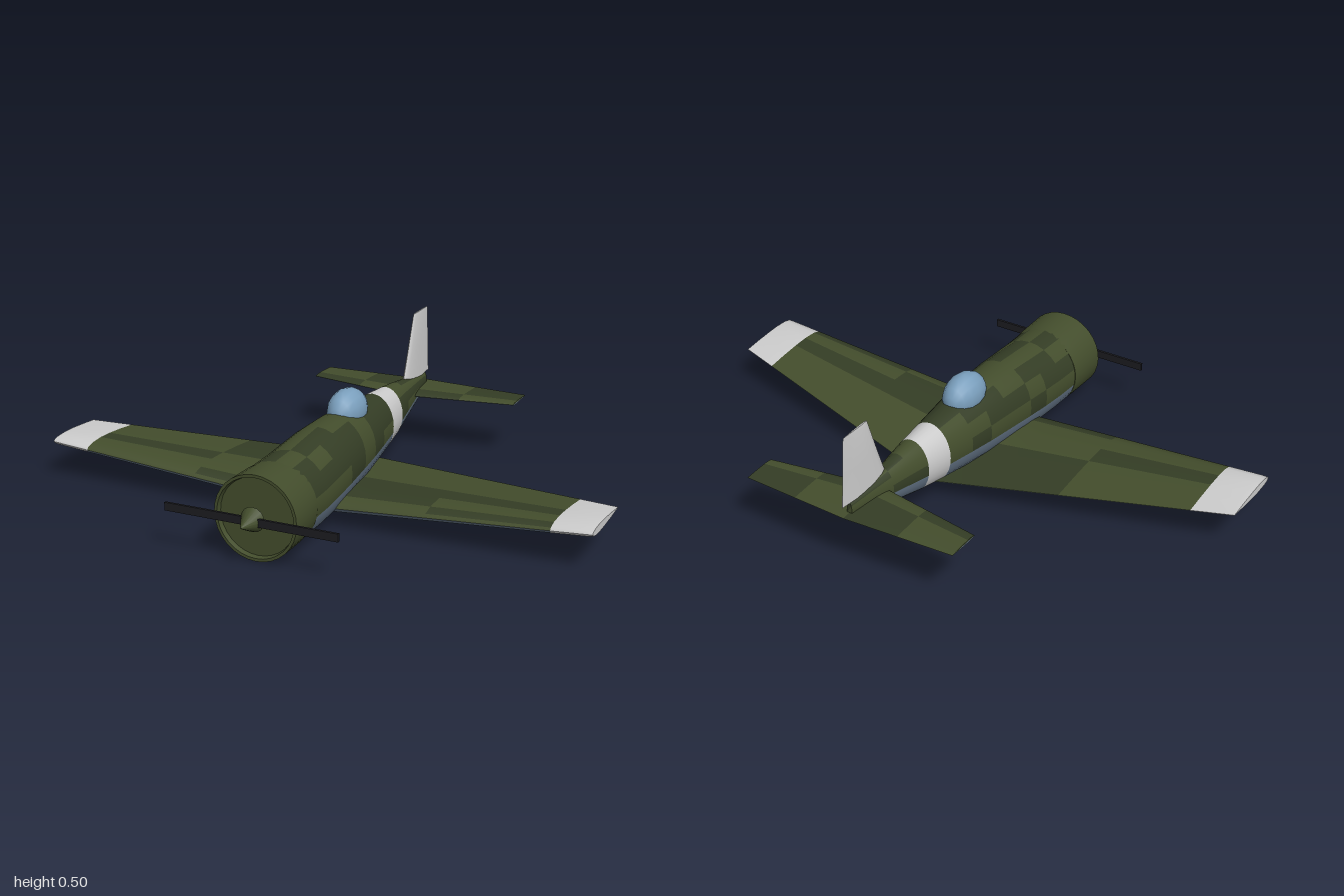
import * as THREE from 'three';
import { toCreasedNormals } from 'three/addons/utils/BufferGeometryUtils.js';

const COLORS = {
  light: 0x434d2c, dark: 0x343d25, belly: 0x627284,
  white: 0xcccccc, glass: 0x7a9fbd, black: 0x1c1c20,
};
const mats = {};
const mat = key => (mats[key] ??= new THREE.MeshStandardMaterial({ color: COLORS[key], side: THREE.DoubleSide }));

// Repeatable camouflage pattern
const camo = (i, j) => {
  const s = Math.sin(i * 12.99 + j * 78.23) * 43758.55;
  return s - Math.floor(s) < 0.5 ? 'dark' : 'light';
};

// Skin a list of closed rings, close both ends, and split the skin by paint colour
function loft(name, rings, paint, crease = 0.8) {
  const n = rings[0].length, last = rings.length - 1;
  const pos = rings.flat(2), index = [], keys = [];
  for (let i = 0; i < last; i++) for (let j = 0; j < n; j++) {
    const k = (j + 1) % n;
    const a = i * n + j, b = i * n + k, c = a + n, d = b + n;
    index.push(a, b, d, a, d, c);
    keys.push(paint(i, j), paint(i, j));
  }
  for (let j = 1; j < n - 1; j++) {
    index.push(0, j + 1, j, last * n, last * n + j, last * n + j + 1);
    keys.push(paint(0, j), paint(last - 1, j));
  }
  let geo = new THREE.BufferGeometry();
  geo.setAttribute('position', new THREE.Float32BufferAttribute(pos, 3));
  geo.setIndex(index);
  geo = toCreasedNormals(geo, crease);

  const group = new THREE.Group();
  group.name = name;
  for (const key of new Set(keys)) {
    const part = geo.clone(), tris = [];
    keys.forEach((k, t) => k === key && tris.push(3 * t, 3 * t + 1, 3 * t + 2));
    part.setIndex(tris);
    const mesh = new THREE.Mesh(part, mat(key));
    mesh.name = name + '_' + key;
    group.add(mesh);
  }
  return group;
}

// Aerofoil outline: [chord fraction from the leading edge, half-thickness fraction]
const HALF = [[1, 0.04], [0.75, 0.5], [0.5, 0.85], [0.3, 1], [0.12, 0.85], [0.02, 0.45]];
const FOIL = [...HALF, [0, 0], ...HALF.slice().reverse().map(([c, t]) => [c, -t])];
const isTop = j => j < 6;

// Horizontal surface ring at span x
const flatRing = (x, y, lead, trail, t) => FOIL.map(([c, v]) => [x, y + v * t, lead + (trail - lead) * c]);

function addMesh(parent, name, geo, key) {
  const mesh = new THREE.Mesh(geo, mat(key));
  mesh.name = name;
  parent.add(mesh);
  return mesh;
}

export function createModel() {
  const plane = new THREE.Group();
  plane.name = 'airplane';
  const lerp = THREE.MathUtils.lerp;

  // Fuselage stations: z, top, bottom, half-width
  const stations = [
    [-0.71, 0.25, 0.185, 0.01], [-0.6, 0.265, 0.157, 0.027], [-0.52, 0.276, 0.137, 0.041],
    [-0.44, 0.286, 0.117, 0.054], [-0.355, 0.294, 0.097, 0.068], [-0.245, 0.301, 0.077, 0.082],
    [-0.13, 0.308, 0.06, 0.098], [-0.03, 0.315, 0.046, 0.111], [0.07, 0.319, 0.033, 0.12],
    [0.2, 0.318, 0.018, 0.13], [0.3, 0.31, 0.01, 0.135], [0.4, 0.301, 0.007, 0.139], [0.51, 0.297, 0.007, 0.142],
  ];
  const UP = 16, DOWN = 12, split = 0.21;
  const angle = j => j < UP
    ? lerp(-split, Math.PI + split, j / UP)
    : lerp(Math.PI + split, 2 * Math.PI - split, (j - UP) / DOWN);
  const hull = stations.map(([z, top, bottom, w]) => Array.from({ length: UP + DOWN }, (_, j) => [
    w * Math.cos(angle(j)), (top + bottom) / 2 + (top - bottom) / 2 * Math.sin(angle(j)), z,
  ]));
  plane.add(loft('fuselage', hull, (i, j) => {
    if (i === 4) return 'white';
    return j >= UP ? 'belly' : camo(i, Math.floor(j / 2));
  }));

  // Engine cowling with a shallow recessed front
  const cowlProfile = [[0, 0.49], [0.143, 0.49], [0.146, 0.54], [0.148, 0.65], [0.138, 0.65], [0.134, 0.632], [0, 0.632]]
    .map(([r, z]) => new THREE.Vector2(r, z));
  const cowlGeo = toCreasedNormals(new THREE.LatheGeometry(cowlProfile, 32), 0.6);
  cowlGeo.rotateX(Math.PI / 2);
  addMesh(plane, 'engineCowling', cowlGeo, 'light').position.y = 0.153;

  // Main wing: straight leading edge, swept trailing edge, dihedral and pale tips
  const spans = [-1, -0.98, -0.86, -0.65, -0.43, -0.2, 0, 0.2, 0.43, 0.65, 0.86, 0.98, 1];
  const wing = spans.map(x => {
    const s = Math.abs(x), tip = s === 1 ? 0.8 : 1;
    return flatRing(x, lerp(0.066, 0.14, s), 0.29, lerp(-0.242, 0.03, s), lerp(0.032, 0.018, s) * tip);
  });
  plane.add(loft('wing', wing, (i, j) => {
    if (i < 2 || i > 9) return 'white';
    if (!isTop(j)) return 'belly';
    const bands = i < 4 ? [2] : i < 6 ? [0, 1, 4] : i < 8 ? [2, 3] : [2, 4];
    return bands.includes(j) ? 'dark' : 'light';
  }));

  // Tailplane
  const tail = [-0.4, -0.2, 0, 0.2, 0.4].map(x => {
    const s = Math.abs(x) / 0.4;
    return flatRing(x, 0.209, lerp(-0.53, -0.597, s), lerp(-0.745, -0.725, s), lerp(0.009, 0.005, s));
  });
  plane.add(loft('tailplane', tail, (i, j) => {
    if (!isTop(j)) return 'belly';
    return (i + (j > 2 ? 1 : 0)) % 2 ? 'dark' : 'light';
  }));

  // Tail fin: height, leading z, trailing z, half-thickness
  const fin = [[0.25, -0.507, -0.747, 0.013], [0.37, -0.553, -0.739, 0.009], [0.49, -0.597, -0.731, 0.005], [0.502, -0.603, -0.727, 0.003]]
    .map(([y, lead, trail, t]) => FOIL.map(([c, v]) => [-v * t, y, lead + (trail - lead) * c]));
  plane.add(loft('tailFin', fin, () => 'white'));

  // Cockpit canopy
  const canopyGeo = new THREE.SphereGeometry(1, 16, 8);
  canopyGeo.rotateX(Math.PI / 2);
  canopyGeo.scale(0.065, 0.078, 0.098);
  addMesh(plane, 'canopy', canopyGeo, 'glass').position.set(0, 0.307, -0.033);

  // Propeller: two blades, hub shaft and spinner
  const propeller = new THREE.Group();
  propeller.name = 'propeller';
  propeller.position.set(0, 0.155, 0.683);
  for (const side of [-1, 1]) {
    addMesh(propeller, side > 0 ? 'leftBlade' : 'rightBlade', new THREE.BoxGeometry(0.31, 0.028, 0.009), 'black')
      .position.x = side * 0.155;
  }
  const shaft = addMesh(propeller, 'shaft', new THREE.CylinderGeometry(0.015, 0.015, 0.06, 12), 'black');
  shaft.rotation.x = Math.PI / 2;
  shaft.position.z = -0.03;
  const spinner = addMesh(propeller, 'spinner', new THREE.ConeGeometry(0.043, 0.084, 16), 'light');
  spinner.rotation.x = Math.PI / 2;
  spinner.position.z = 0.025;
  plane.add(propeller);

  return plane;
}
